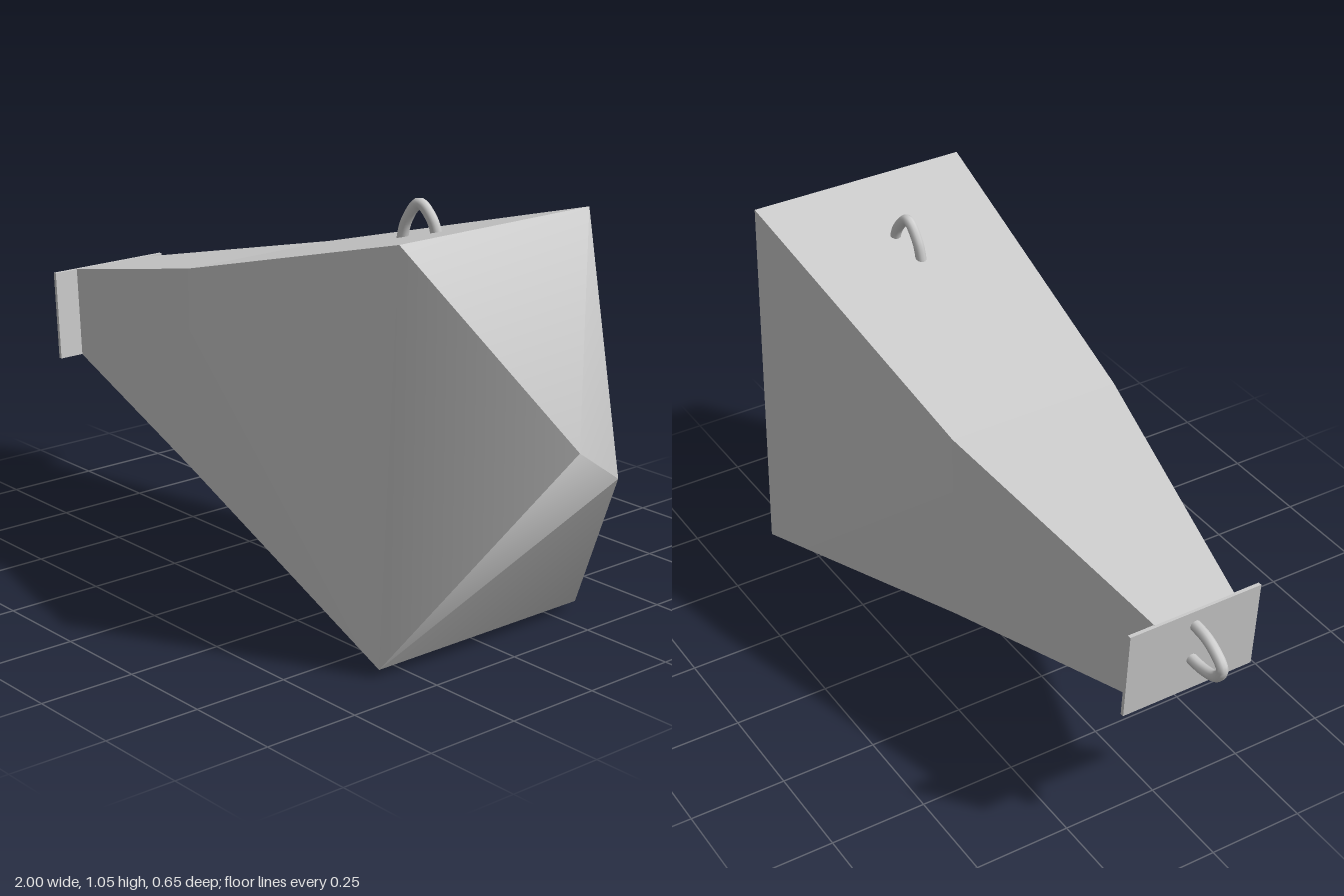
import * as THREE from 'three';
import { ConvexGeometry } from 'three/addons/geometries/ConvexGeometry.js';
import { toCreasedNormals } from 'three/addons/utils/BufferGeometryUtils.js';

const material = new THREE.MeshStandardMaterial({ color: 0xcccccc });
const V = (x, y, z) => new THREE.Vector3(x, y, z);

// Four corners of a trapezoid cross-section
function section(topX, topY, topZ, bottomX, bottomY, bottomZ) {
  return [1, -1].flatMap((s) => [V(topX, topY, s * topZ), V(bottomX, bottomY, s * bottomZ)]);
}

export function createModel() {
  const group = new THREE.Group();
  const add = (name, geometry) => {
    const mesh = new THREE.Mesh(geometry, material);
    mesh.name = name;
    group.add(mesh);
  };
  const solid = (name, points) =>
    add(name, toCreasedNormals(new ConvexGeometry(points), Math.PI / 3.2));
  const loop = (name, points) =>
    add(name, new THREE.TubeGeometry(new THREE.CatmullRomCurve3(points), 32, 0.014, 10));

  const neckEnd = section(-0.87, 0.65, 0.11, -0.855, 0.41, 0.11);
  const shoulder = section(-0.2, 0.8, 0.23, -0.2, 0.275, 0.23);
  const front = section(0.66, 1.03, 0.3, 0.635, 0.022, 0.325);

  // Tapered body: narrow neck, then the wide end closing to a blunt point
  solid('neck', [...neckEnd, ...shoulder]);
  solid('body', [...shoulder, ...front, V(0.965, 0.57, 0.03), V(1, 0.5, -0.06)]);

  // Thin flange across the narrow end
  solid('endFlange', [
    ...section(-0.878, 0.65, 0.18, -0.863, 0.41, 0.18),
    ...section(-0.868, 0.65, 0.18, -0.853, 0.41, 0.18),
  ]);

  // Carrying loops
  loop('endLoop', [
    V(-0.85, 0.61, 0), V(-0.93, 0.597, 0), V(-0.983, 0.555, 0),
    V(-0.965, 0.522, 0), V(-0.92, 0.507, 0), V(-0.85, 0.505, 0),
  ]);
  loop('topLoop', [
    V(0.345, 0.91, 0.01), V(0.362, 0.99, 0.006), V(0.4, 1.036, 0),
    V(0.436, 1.0, -0.008), V(0.455, 0.94, -0.012),
  ]);
  loop('bottomLoop', [
    V(0.36, 0.14, 0), V(0.378, 0.06, 0), V(0.418, 0.015, 0),
    V(0.45, 0.05, 0), V(0.462, 0.11, 0),
  ]);
  return group;
}
